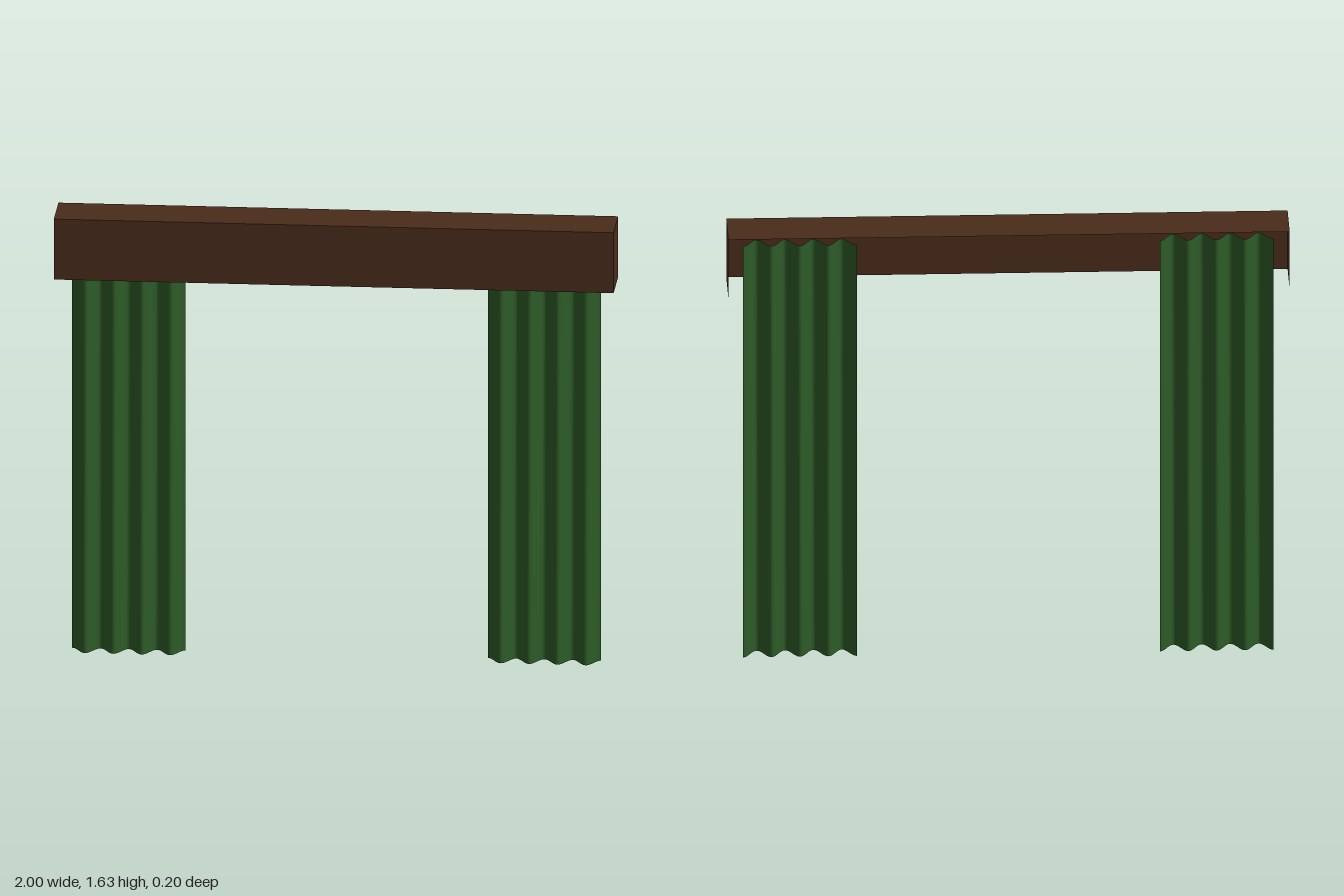
import * as THREE from 'three';

const wood = new THREE.MeshStandardMaterial({ color: 0x4a2c1a, side: THREE.DoubleSide });
const cloth = new THREE.MeshStandardMaterial({ color: 0x2d5a27, side: THREE.DoubleSide });

const TOP = 1.635, PELMET_H = 0.225, DEPTH = 0.2, LENGTH = 2;
const CURTAIN_W = 0.405, CURTAIN_H = 1.58, FOLDS = 4, FOLD_DEPTH = 0.031;

// Thin board of the pelmet
function board(name, w, h, position, rotation = [0, 0, 0]) {
  const mesh = new THREE.Mesh(new THREE.PlaneGeometry(w, h), wood);
  mesh.name = name;
  mesh.position.set(...position);
  mesh.rotation.set(...rotation);
  return mesh;
}

// Hanging sheet with even folds, starting and ending at the back of a fold
function curtain(name, x) {
  const geo = new THREE.PlaneGeometry(CURTAIN_W, CURTAIN_H, FOLDS * 16, 1);
  const p = geo.attributes.position;
  for (let i = 0; i < p.count; i++) {
    const t = p.getX(i) / CURTAIN_W + 0.5;
    p.setZ(i, -FOLD_DEPTH * Math.cos(t * FOLDS * Math.PI * 2));
  }
  geo.computeVertexNormals();
  const mesh = new THREE.Mesh(geo, cloth);
  mesh.name = name;
  mesh.position.set(x, CURTAIN_H / 2, 0);
  return mesh;
}

export function createModel() {
  const model = new THREE.Group();
  model.name = 'curtainsWithPelmet';

  // Pelmet: front, top and two ends, open at the back and underneath
  const pelmet = new THREE.Group();
  pelmet.name = 'pelmet';
  const midY = TOP - PELMET_H / 2;
  pelmet.add(
    board('pelmetFront', LENGTH, PELMET_H, [0, midY, DEPTH / 2]),
    board('pelmetTop', LENGTH, DEPTH, [0, TOP, 0], [-Math.PI / 2, 0, 0]),
    board('pelmetLeftEnd', DEPTH, PELMET_H, [LENGTH / 2, midY, 0], [0, Math.PI / 2, 0]),
    board('pelmetRightEnd', DEPTH, PELMET_H, [-LENGTH / 2, midY, 0], [0, -Math.PI / 2, 0])
  );
  model.add(pelmet);

  // Pair of curtains
  model.add(curtain('leftCurtain', 0.7425), curtain('rightCurtain', -0.7425));
  return model;
}
